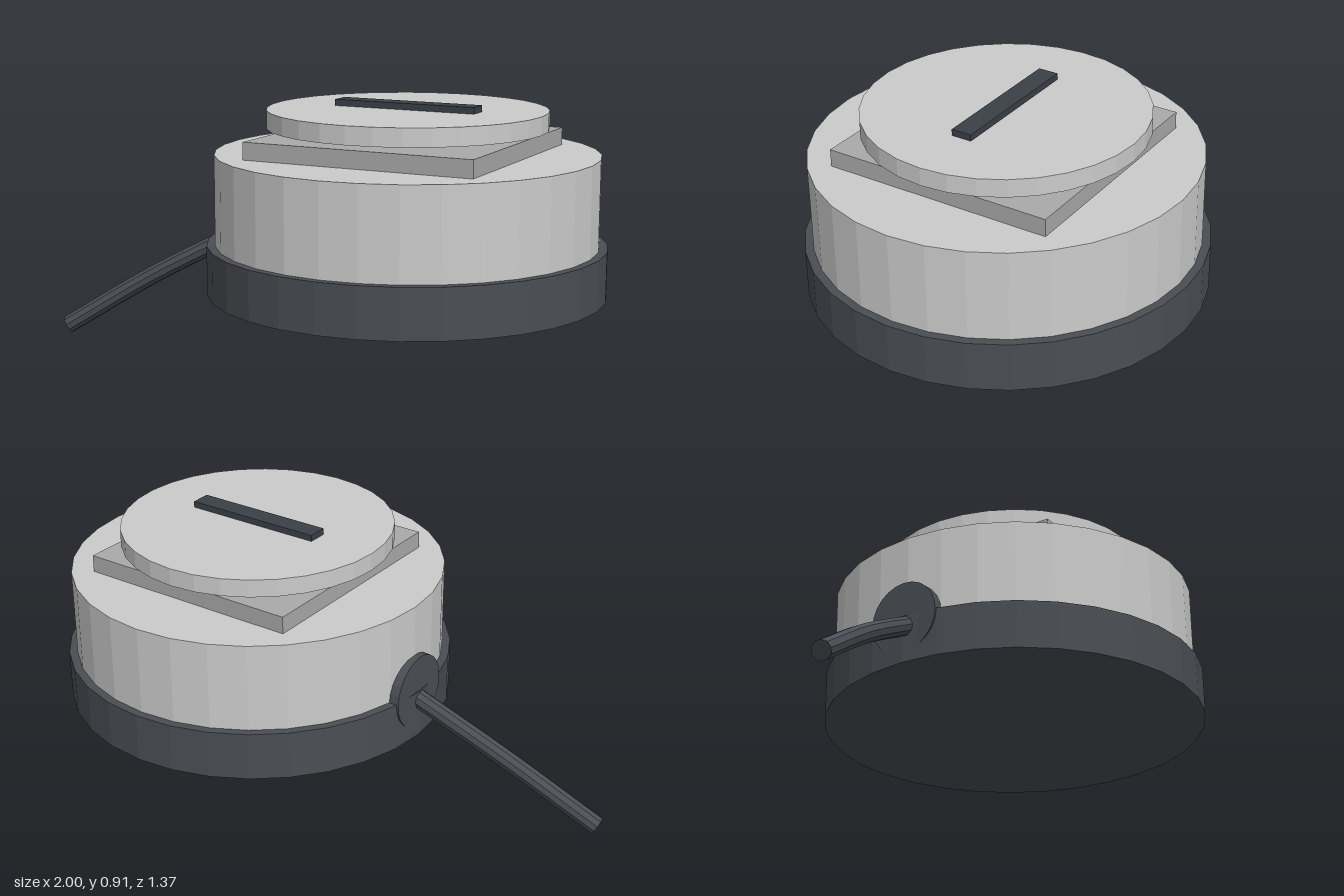
import * as THREE from 'three';

const AXIS_X = 0.317; // vertical axis of the round housing
const mat = (color) => new THREE.MeshStandardMaterial({ color, flatShading: true });

export function createModel() {
  const root = new THREE.Group();
  const grey = mat(0xcccccc), midGrey = mat(0xaaaaaa), dark = mat(0x4a4e54), black = mat(0x3b4048);

  const add = (name, geometry, material, x, y, z = 0) => {
    const mesh = new THREE.Mesh(geometry, material);
    mesh.name = name;
    mesh.position.set(x, y, z);
    root.add(mesh);
    return mesh;
  };
  // Disc standing between two heights on the housing axis
  const disc = (name, radius, y0, y1, material) =>
    add(name, new THREE.CylinderGeometry(radius, radius, y1 - y0, 32), material, AXIS_X, (y0 + y1) / 2);
  const slab = (name, w, d, y0, y1, material) =>
    add(name, new THREE.BoxGeometry(w, y1 - y0, d), material, AXIS_X, (y0 + y1) / 2);

  // Stacked housing
  disc('base', 0.683, 0.27, 0.44, dark);
  disc('body', 0.654, 0.44, 0.75, grey);
  slab('squarePlate', 0.815, 0.815, 0.75, 0.81, midGrey);
  disc('lid', 0.477, 0.836, 0.898, grey);
  slab('topBar', 0.51, 0.072, 0.898, 0.92, black);

  // Round cable outlet in the side of the body
  const outlet = add('cableOutlet', new THREE.CylinderGeometry(0.13, 0.13, 0.06, 24), dark, -0.33, 0.437);
  outlet.rotation.z = Math.PI / 2;

  // Gently drooping cable
  const path = new THREE.CatmullRomCurve3([
    new THREE.Vector3(-0.31, 0.43, -0.005),
    new THREE.Vector3(-0.66, 0.24, 0.075),
    new THREE.Vector3(-0.98, 0.035, 0.168),
  ]);
  const sides = 10, radius = 0.033;
  add('cable', new THREE.TubeGeometry(path, 8, radius, sides), dark, 0, 0);

  // Closed cable end
  const cap = add('cableEnd', new THREE.CircleGeometry(radius, sides), dark, -0.98, 0.035, 0.168);
  cap.quaternion.setFromUnitVectors(new THREE.Vector3(0, 0, 1), path.getTangent(1));
  return root;
}
